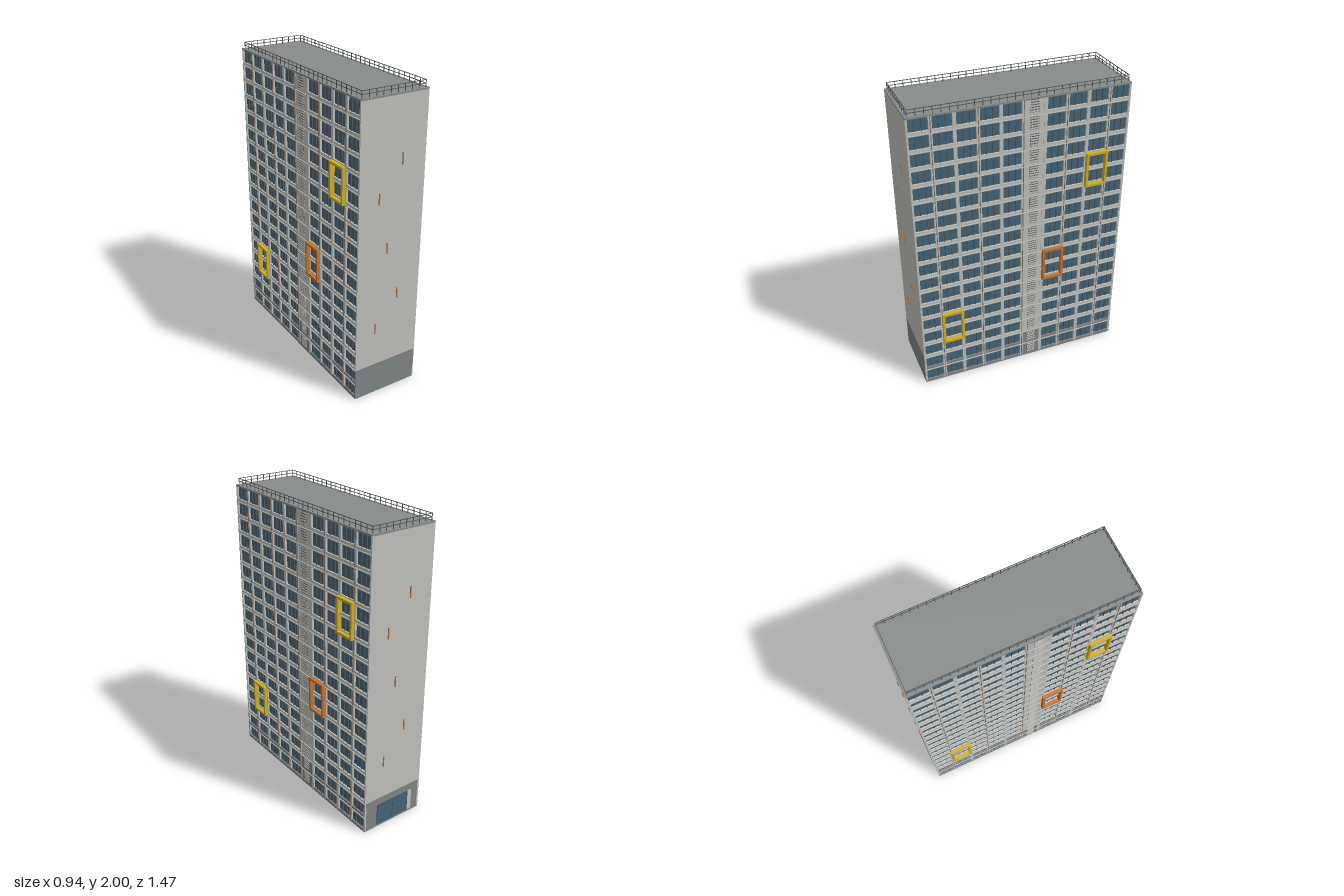
import * as THREE from 'three';
import { mergeGeometries } from 'three/addons/utils/BufferGeometryUtils.js';

const W = 0.456, L = 1.404, H = 1.957;      // building width, length, roof height
const BAYS = 10, FLOORS = 18, P = L / BAYS, F = 0.1085;
const BASE = 2 * F, SKIN = 0.012;           // dark base height, facade relief depth
const STAIR = 5;                            // bay holding the stairwell louvres

const paint = (name, hex) => {
  const m = new THREE.MeshStandardMaterial({ color: hex });
  m.name = name;
  return m;
};

// box given by its centre and size
const box = (x, y, z, sx, sy, sz) => new THREE.BoxGeometry(sx, sy, sz).translate(x, y, z);

function part(parent, name, material, boxes) {
  const mesh = new THREE.Mesh(mergeGeometries(boxes), material);
  mesh.name = name;
  parent.add(mesh);
  return mesh;
}

export function createModel() {
  const wall = paint('light concrete', 0xbfbfbb);
  const base = paint('base grey', 0x7f8486);
  const glass = paint('blue glass', 0x456478);
  const roofing = paint('roof grey', 0x878c8b);
  const metal = paint('dark metal', 0x55585a);
  const pipe = paint('brown pipe', 0x846c60);
  const yellow = paint('yellow', 0xd0b020);
  const orange = paint('orange', 0xc8722c);

  const model = new THREE.Group();
  const tower = new THREE.Group();
  tower.name = 'tower';
  tower.rotation.y = 0.368;
  model.add(tower);

  // glazed core, showing between the bands and piers
  part(tower, 'glazing', glass, [box(0, H / 2, 0, W - 2 * SKIN, H - 0.01, L - 0.02)]);
  part(tower, 'footing', base, [box(0, 0.008, 0, W, 0.016, L)]);

  // roof deck with a low rim
  part(tower, 'roof', roofing, [box(0, H - 0.008, 0, W - 0.004, 0.01, L - 0.004)]);
  const rim = [];
  for (const s of [-1, 1]) {
    rim.push(box(s * (W / 2 - 0.005), H - 0.005, 0, 0.01, 0.01, L));
    rim.push(box(0, H - 0.005, s * (L / 2 - 0.005), W, 0.01, 0.01));
  }
  part(tower, 'roofRim', roofing, rim);

  // roof railing: posts and two rails on every side
  const rails = [], rx = W / 2 - 0.015, rz = L / 2 - 0.015, t = 0.0035;
  for (const s of [-1, 1]) {
    for (const y of [1.978, 1.998]) {
      rails.push(box(s * rx, y, 0, t, t, 2 * rz + t));
      rails.push(box(0, y, s * rz, 2 * rx + t, t, t));
    }
    for (let i = 0; i <= 28; i++)
      rails.push(box(s * rx, 1.976, -rz + (2 * rz * i) / 28, t, 0.046, t));
    for (let i = 1; i < 9; i++)
      rails.push(box(-rx + (2 * rx * i) / 9, 1.976, s * rz, t, 0.046, t));
  }
  part(tower, 'roofRailing', metal, rails);

  // the two halves repeat under a half turn
  for (const turn of [0, Math.PI]) {
    const half = new THREE.Group();
    half.name = turn ? 'backHalf' : 'frontHalf';
    half.rotation.y = turn;
    tower.add(half);
    buildFacade(half);
    buildEnd(half);
  }

  // entrance in the back end
  const door = new THREE.Group();
  door.name = 'entrance';
  tower.add(door);
  const dz = -L / 2 - 0.001;
  part(door, 'doorGlass', glass, [box(0, 0.09, dz, 0.25, 0.15, 0.004)]);
  part(door, 'doorJamb', wall, [box(-0.143, 0.09, dz, 0.036, 0.15, 0.004)]);
  part(door, 'doorFrame', metal, [
    box(-0.125, 0.09, dz, 0.005, 0.15, 0.007), box(0.125, 0.09, dz, 0.008, 0.15, 0.007),
    box(0, 0.09, dz, 0.004, 0.15, 0.007), box(0, 0.165, dz, 0.25, 0.005, 0.007)]);

  function buildFacade(g) {
    const x = W / 2 - SKIN / 2, face = W / 2;
    const bayZ = i => L / 2 - (i + 0.5) * P;
    const light = [], dark = [], ledges = [], mullions = [], slats = [], louvres = [], pipes = [];

    // piers between the bays
    for (let i = 0; i <= BAYS; i++) {
      const edge = i === 0 || i === BAYS;
      const pz = i === 0 ? L / 2 - 0.006 : i === BAYS ? -L / 2 + 0.006 : L / 2 - i * P;
      light.push(box(x, H / 2, pz, SKIN, H - 0.014, edge ? 0.012 : 0.0215));
      if (i % 2) pipes.push(box(face, H / 2, pz, 0.006, H - 0.02, 0.004));
    }

    // wall bands between window rows, each with a thin ledge
    for (let k = 0; k <= FLOORS; k++) {
      const lo = k ? k * F - 0.004 : 0, hi = k < FLOORS ? k * F + 0.021 : H - 0.006;
      (k < 2 ? dark : light).push(box(x - 0.0005, (lo + hi) / 2, 0, SKIN - 0.001, hi - lo, L - 0.002));
      if (k && k < FLOORS) ledges.push(box(face, lo + 0.004, 0, 0.01, 0.005, L - 0.004));
    }

    // window mullions, alternating sides from bay to bay
    for (let i = 0; i < BAYS; i++) {
      if (i === STAIR) continue;
      const s = i % 2 ? 1 : -1;
      mullions.push(box(face - 0.009, H / 2, bayZ(i) + s * 0.022, 0.008, H - 0.03, 0.004));
      mullions.push(box(face - 0.009, H / 2, bayZ(i) - s * 0.02, 0.008, H - 0.03, 0.003));
    }

    // stairwell strip with louvres on each floor
    const sz = bayZ(STAIR);
    dark.push(box(x - 0.001, BASE / 2, sz, SKIN - 0.002, BASE, P));
    light.push(box(x - 0.001, (BASE + H) / 2 - 0.004, sz, SKIN - 0.002, H - BASE - 0.01, P));
    for (let k = 0; k < FLOORS; k++) {
      louvres.push(box(face - 0.003, k * F + 0.062, sz, 0.006, 0.08, 0.057));
      for (let j = 0; j < 5; j++)
        slats.push(box(face, k * F + 0.03 + j * 0.016, sz, 0.006, 0.009, 0.057));
    }

    part(g, 'facadeWall', wall, light);
    part(g, 'facadeBase', base, dark);
    part(g, 'ledges', wall, ledges);
    part(g, 'mullions', metal, mullions);
    part(g, 'louvres', metal, louvres);
    part(g, 'louvreSlats', wall, slats);
    part(g, 'downpipes', pipe, pipes);

    // coloured frames around two-storey windows
    const frames = [[8, 12, yellow], [6, 6, orange], [1, 3, yellow]];
    for (const [bay, floor, color] of frames) {
      const y0 = floor * F - 0.004, y1 = (floor + 2) * F + 0.014, z = bayZ(bay);
      const d = 0.03, w = 0.016, fx = face + 0.007, bars = [];
      for (const s of [-1, 1]) bars.push(box(fx, (y0 + y1) / 2, z + s * (P / 2 - w / 2 + 0.003), d, y1 - y0, w));
      for (const y of [y0 + w / 2, y1 - w / 2]) bars.push(box(fx, y, z, d, w, P));
      part(g, 'windowFrame', color, bars);
    }
  }

  function buildEnd(g) {
    const z = L / 2 - 0.006;
    part(g, 'endWall', wall, [box(0, (BASE + H - 0.01) / 2, z, W, H - 0.01 - BASE, 0.012)]);
    part(g, 'endBase', base, [box(0, BASE / 2, z, W, BASE, 0.012)]);

    // small upright fins scattered over the end wall
    const fins = [[0.64, 1.572], [0.3, 1.355], [0.45, 1.025], [0.64, 0.697], [0.3, 0.485]];
    part(g, 'endFins', orange, fins.map(([u, y]) => box((u - 0.5) * W, y, L / 2, 0.006, 0.072, 0.012)));
  }

  return model;
}
